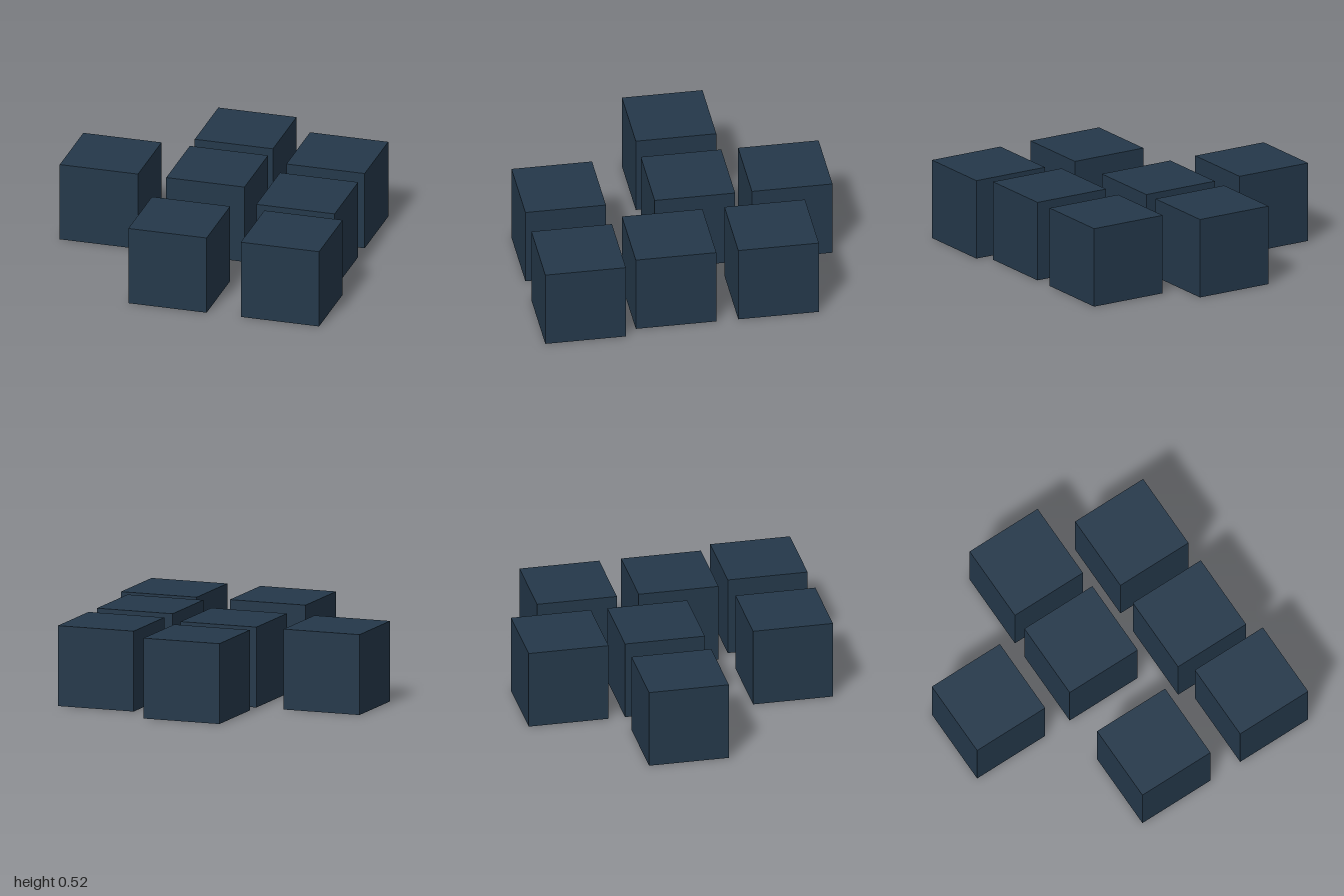
import * as THREE from 'three';

export function createModel() {
  const model = new THREE.Group();
  model.name = 'cubeCluster';

  const slate = new THREE.MeshStandardMaterial({ color: 0x24384a });
  slate.name = 'darkSlateBlue';

  const size = 0.524;
  const cube = new THREE.BoxGeometry(size, size, size);

  // Seven equal cubes resting on the ground: name, x, z
  const places = [
    ['leftmostCube', -0.733, -0.105],
    ['middleBackCube', -0.02, -0.738],
    ['middleCube', -0.02, -0.105],
    ['middleFrontCube', -0.02, 0.736],
    ['sideBackCube', 0.656, -0.533],
    ['sideCube', 0.656, 0.134],
    ['sideFrontCube', 0.733, 0.736],
  ];
  for (const [name, x, z] of places) {
    const mesh = new THREE.Mesh(cube, slate);
    mesh.name = name;
    mesh.position.set(x, size / 2, z);
    model.add(mesh);
  }
  return model;
}
